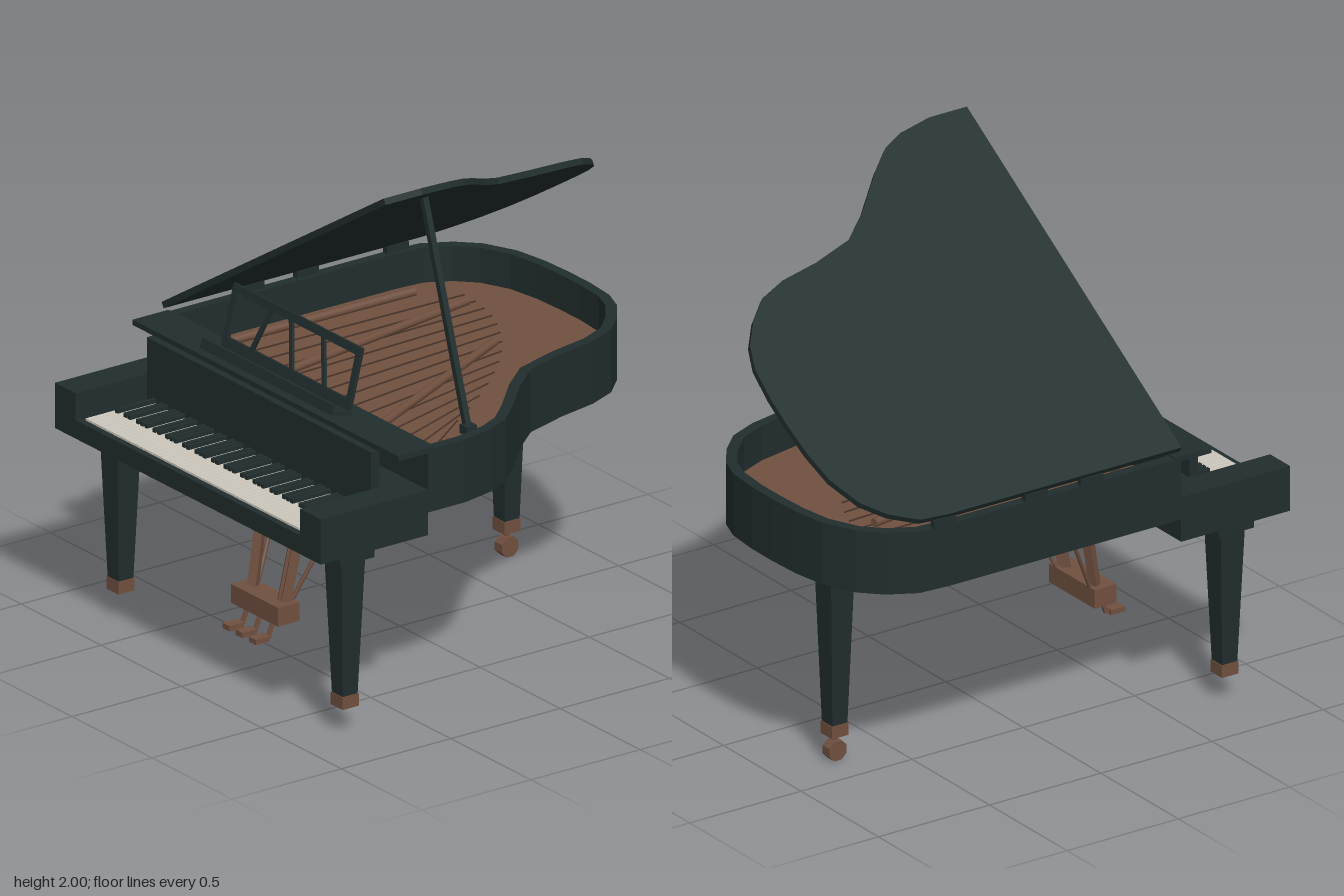
import * as THREE from 'three';
import { mergeGeometries } from 'three/addons/utils/BufferGeometryUtils.js';

const material = (name, color) => {
  const m = new THREE.MeshStandardMaterial({ color });
  m.name = name;
  return m;
};

export function createModel() {
  const ebony = material('ebony', 0x212d2d);
  const wood = material('brown wood', 0x70503f);
  const stringBrown = material('dark string', 0x4a352b);
  const ivory = material('ivory', 0xcdc8bc);
  const root = new THREE.Group();
  root.name = 'grandPiano';

  const add = (name, geometry, mat, parent = root) => {
    const mesh = new THREE.Mesh(geometry, mat);
    mesh.name = name;
    parent.add(mesh);
    return mesh;
  };
  // Box given by its lower and upper limits on each axis
  const span = (x0, x1, y0, y1, z0, z1) =>
    new THREE.BoxGeometry(x1 - x0, y1 - y0, z1 - z0)
      .translate((x0 + x1) / 2, (y0 + y1) / 2, (z0 + z1) / 2);
  // Square bar or round rod between two points
  const bar = (a, b, w, d = w, round = false) => {
    const p = new THREE.Vector3(...a), q = new THREE.Vector3(...b);
    const dir = q.clone().sub(p), len = dir.length();
    const g = round ? new THREE.CylinderGeometry(w / 2, w / 2, len, 8) : new THREE.BoxGeometry(w, len, d);
    g.applyQuaternion(new THREE.Quaternion().setFromUnitVectors(new THREE.Vector3(0, 1, 0), dir.normalize()));
    return g.translate(...p.add(q).multiplyScalar(0.5).toArray());
  };

  // Case outline as (x, -z), counter-clockwise from the front left corner
  const outline = [
    [0.83, -0.48], [0.83, -0.31], [0.80, -0.165], [0.755, -0.07], [0.67, 0.025], [0.52, 0.17],
    [0.42, 0.29], [0.364, 0.47], [0.33, 0.64], [0.28, 0.76], [0.195, 0.85], [0.10, 0.92],
    [0, 0.957], [-0.14, 0.97], [-0.27, 0.97], [-0.41, 0.963], [-0.55, 0.94], [-0.68, 0.88], [-0.76, 0.80],
    [-0.82, 0.69], [-0.83, 0.56], [-0.83, -0.48],
  ].map(([x, y]) => new THREE.Vector2(x, y));
  const inset = (pts, t) => pts.map((p, i) => {
    const n = pts.length;
    const normal = (a, b) => new THREE.Vector2(a.y - b.y, b.x - a.x).normalize();
    const n1 = normal(pts[(i + n - 1) % n], p), n2 = normal(p, pts[(i + 1) % n]);
    return n1.clone().add(n2).multiplyScalar(t / (1 + n1.dot(n2))).add(p);
  });
  const slab = (pts, y0, y1, hole) => {
    const shape = new THREE.Shape(pts);
    if (hole) shape.holes.push(new THREE.Path(hole));
    return new THREE.ExtrudeGeometry(shape, { depth: y1 - y0, bevelEnabled: false })
      .rotateX(-Math.PI / 2).translate(0, y0, 0);
  };

  // Curved case: rim, floor and soundboard
  const inner = inset(outline, 0.042);
  add('rim', slab(outline, 0.84, 1.09, inner), ebony);
  add('caseFloor', slab(inner, 0.84, 0.87), ebony);
  add('soundboard', slab(inner, 0.92, 0.95), wood);
  add('pinBlock', span(-0.74, 0.74, 0.94, 0.985, 0.37, 0.43), wood);

  // Frame struts fan out toward the front
  for (const [x0, x1, z1] of [[-0.67, -0.66, -0.55], [-0.29, -0.47, -0.65], [0.36, -0.09, -0.5]])
    add('frameStrut', bar([x0, 0.985, 0.4], [x1, 0.985, z1], 0.035, 0.035, true), wood);
  const strings = [];
  for (let i = 0; i < 14; i++) {
    const t = i / 13;
    strings.push(bar([-0.6 + 1.25 * t, 0.957, 0.38],
      [-0.58 + 0.98 * t, 0.957, -0.72 + 0.75 * t * t], 0.005));
  }
  add('strings', mergeGeometries(strings), stringBrown);

  // Lid, hinged along the straight side and propped open
  const lid = new THREE.Group();
  lid.name = 'lid';
  lid.position.set(-0.82, 1.112, 0);
  lid.rotation.z = THREE.MathUtils.degToRad(32);
  root.add(lid);
  const lidOutline = outline.map(p => new THREE.Vector2((p.x + 0.83) * 0.985, p.y));
  add('lidPanel', slab(lidOutline, 0, 0.025), ebony, lid);
  for (const z of [0.08, -0.17, -0.58])
    add('hinge', span(-0.83, -0.805, 1.085, 1.118, z - 0.05, z + 0.05), ebony);
  add('lidProp', bar([0.725, 1.07, 0.22], [0.45, 1.91, 0.22], 0.024), ebony);
  add('propBlock', span(0.705, 0.75, 1.06, 1.095, 0.197, 0.243), ebony);
  add('propBracket', span(0.73, 0.79, 1.06, 1.08, 0.205, 0.235), ebony);

  // Key bed, cheeks and fallboard
  add('keyBed', span(-0.83, 0.83, 0.75, 0.815, 0.48, 0.97), ebony);
  for (const s of [-1, 1])
    add('cheek', span(Math.min(s * 0.7, s * 0.83), Math.max(s * 0.7, s * 0.83), 0.815, 0.93, 0.48, 0.97), ebony);
  add('keyBack', span(-0.7, 0.7, 0.815, 0.93, 0.48, 0.61), ebony);
  add('fallboard', span(-0.7, 0.7, 0.815, 1.076, 0.607, 0.645), ebony);
  add('topShelf', span(-0.83, 0.83, 1.075, 1.096, 0.45, 0.615), ebony);
  add('keySlip', span(-0.7, 0.7, 0.815, 0.824, 0.943, 0.97), ebony);

  // Keyboard: 52 white and 36 black keys, starting on A
  const white = [], black = [], pitch = 1.354 / 52;
  for (let i = 0; i < 52; i++) {
    const x = -0.677 + i * pitch;
    white.push(span(x + 0.0008, x + pitch - 0.0008, 0.812, 0.832, 0.65, 0.942));
    if (i < 51 && [0, 2, 3, 5, 6].includes(i % 7))
      black.push(span(x + pitch - 0.008, x + pitch + 0.008, 0.825, 0.848, 0.645, 0.82));
  }
  add('whiteKeys', mergeGeometries(white), ivory);
  add('blackKeys', mergeGeometries(black), ebony);

  // Music desk, leaning back
  const desk = new THREE.Group();
  desk.name = 'musicDesk';
  desk.position.set(0, 1.1, 0.53);
  desk.rotation.x = THREE.MathUtils.degToRad(-14);
  root.add(desk);
  add('deskLedge', span(-0.41, 0.41, 0, 0.014, -0.01, 0.085), ebony, desk);
  add('deskLip', span(-0.41, 0.41, 0, 0.04, 0.075, 0.087), ebony, desk);
  add('deskBottomRail', span(-0.4, 0.4, 0, 0.055, -0.014, 0), ebony, desk);
  add('deskTopRail', span(-0.4, 0.4, 0.225, 0.257, -0.014, 0), ebony, desk);
  for (const s of [-1, 1])
    add('deskSideRail', span(s * 0.385 - 0.015, s * 0.385 + 0.015, 0, 0.257, -0.014, 0), ebony, desk);
  for (const [x0, x1] of [[-0.23, -0.16], [0.025, -0.04], [0.23, 0.16]])
    add('deskSlat', bar([x0, 0.04, -0.007], [x1, 0.235, -0.007], 0.018, 0.012), ebony, desk);

  // Tapered square legs with wooden feet
  const leg = (x, z, top, capHeight) => {
    const g = new THREE.Group();
    g.name = 'leg';
    g.position.set(x, 0, z);
    root.add(g);
    const capY = top - capHeight;
    add('legCap', span(-0.078, 0.078, capY, top, -0.078, 0.078), ebony, g);
    const shaft = new THREE.CylinderGeometry(0.054 * Math.SQRT2, 0.034 * Math.SQRT2, capY - 0.15, 4)
      .rotateY(Math.PI / 4).translate(0, (capY + 0.15) / 2, 0).toNonIndexed();
    shaft.computeVertexNormals();
    add('legShaft', shaft, ebony, g);
    add('foot', span(-0.037, 0.037, 0.1, 0.15, -0.037, 0.037), wood, g);
    return g;
  };
  leg(-0.7, 0.765, 0.75, 0.055);
  leg(0.7, 0.765, 0.75, 0.055);
  const rearLeg = leg(-0.33, -0.73, 0.84, 0.045);
  const wheel = new THREE.CylinderGeometry(0.042, 0.042, 0.044, 8)
    .rotateX(0).rotateY(Math.PI / 8).rotateZ(Math.PI / 2).translate(0, 0.039, 0).toNonIndexed();
  wheel.computeVertexNormals();
  add('caster', wheel, wood, rearLeg);
  add('casterPin', span(-0.008, 0.008, 0.07, 0.105, -0.008, 0.008), wood, rearLeg);

  // Pedal lyre: box, posts, braces and three pedals
  add('pedalBox', span(-0.148, 0.146, 0.205, 0.28, 0.565, 0.665), wood);
  for (const s of [-1, 1]) {
    for (const o of [-0.011, 0.011])
      add('lyrePost', bar([s * 0.125 + o, 0.76, 0.508], [s * 0.097 + o, 0.27, 0.602], 0.02, 0.036), wood);
    add('lyreBrace', bar([s * 0.23, 0.85, 0.297], [s * 0.105, 0.27, 0.575], 0.016, 0.016, true), wood);
  }
  for (const x of [-0.082, 0, 0.082]) {
    add('pedalStem', bar([x, 0.215, 0.632], [x, 0.145, 0.662], 0.014), wood);
    add('pedalArm', bar([x, 0.147, 0.655], [x, 0.143, 0.7], 0.018, 0.014), wood);
    add('pedal', span(x - 0.022, x + 0.022, 0.135, 0.156, 0.67, 0.735), wood);
  }
  return root;
}
